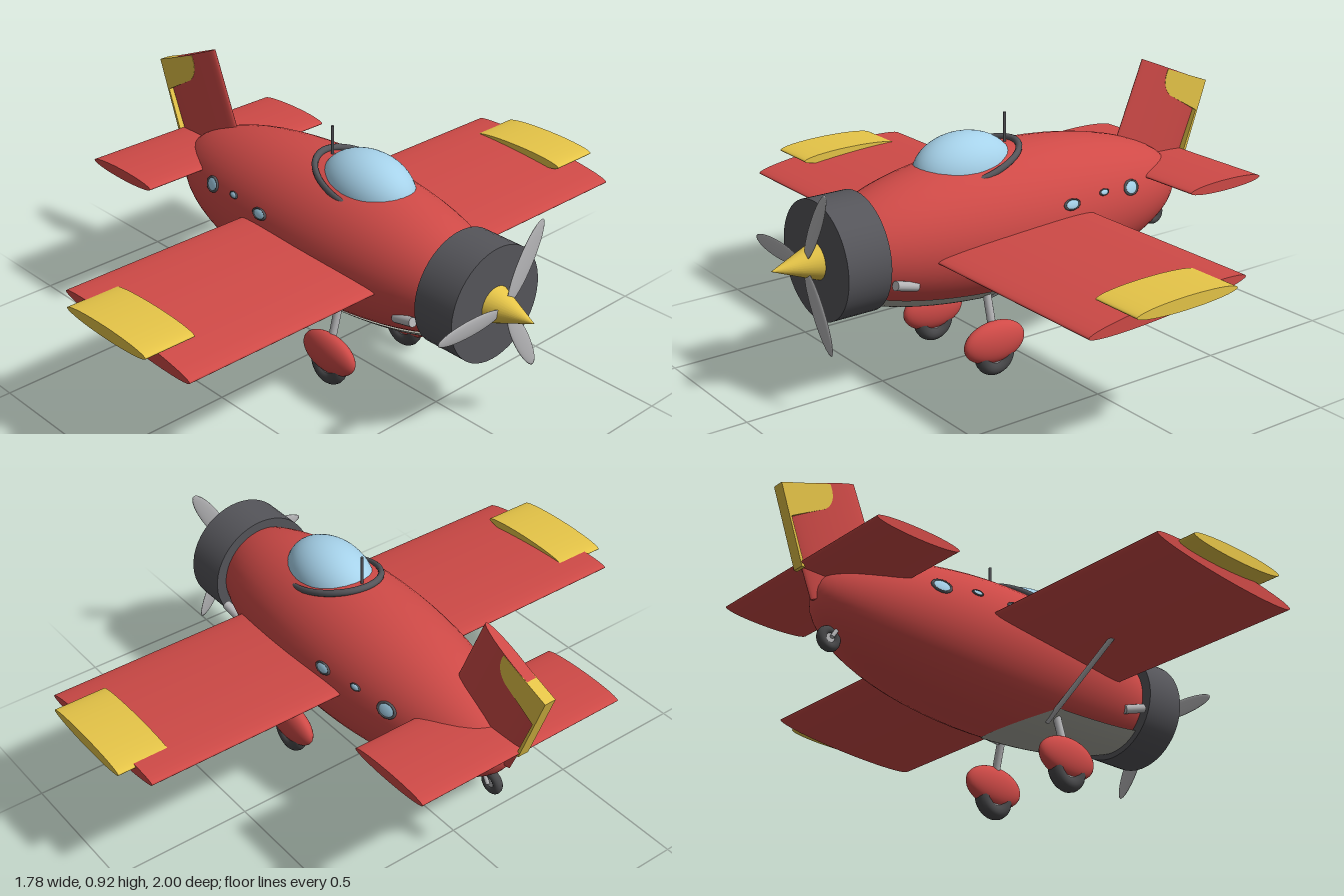
import * as THREE from 'three';
import { ParametricGeometry } from 'three/addons/geometries/ParametricGeometry.js';

const mat = (color, side = THREE.FrontSide) => new THREE.MeshStandardMaterial({ color, side });
const RED = mat(0xcf4a47), YELLOW = mat(0xe6c548), DARK = mat(0x55555a), TYRE = mat(0x48484a);
const GLASS = mat(0xa6d2ea), METAL = mat(0xb4b4b6), BELLY = mat(0xaaaaa0, THREE.DoubleSide);

// Fuselage ellipsoid: centre and radii
const C = new THREE.Vector3(0.01, 0.475, 0);
const R = new THREE.Vector3(0.74, 0.255, 0.25);

export function createModel() {
  const plane = new THREE.Group();
  plane.name = 'airplane';

  function add(name, geometry, material, x = 0, y = 0, z = 0) {
    const m = new THREE.Mesh(geometry, material);
    m.name = name;
    m.position.set(x, y, z);
    plane.add(m);
    return m;
  }
  function ellipsoid(name, material, p, r, seg = 32) {
    const g = new THREE.SphereGeometry(1, seg, Math.round(seg * 0.6)).scale(...r);
    return add(name, g, material, ...p);
  }
  function rod(name, a, b, r, material = METAL) {
    const path = new THREE.LineCurve3(new THREE.Vector3(...a), new THREE.Vector3(...b));
    const d = path.getLength();
    const m = add(name, new THREE.CylinderGeometry(r, r, d, 12), material);
    m.position.copy(path.getPoint(0.5));
    m.quaternion.setFromUnitVectors(new THREE.Vector3(0, 1, 0), path.getTangent(0));
    return m;
  }
  // Straight panel with a lens section, spanning z
  function panel(name, material, p, chord, thick, span, tilt = 0) {
    const g = new THREE.CylinderGeometry(1, 1, span, 40).rotateX(Math.PI / 2);
    g.scale(chord / 2, thick / 2, 1);
    const m = add(name, g, material, ...p);
    m.rotation.z = tilt;
    return m;
  }
  function wheel(name, p, r, tube) {
    add(name + 'Tyre', new THREE.TorusGeometry(r - tube, tube, 14, 32), TYRE, ...p);
    add(name + 'Hub', new THREE.CylinderGeometry(r - tube, r - tube, tube * 1.3, 20).rotateX(Math.PI / 2), METAL, ...p);
  }

  // Body
  const body = new THREE.SphereGeometry(1, 48, 32).rotateZ(Math.PI / 2).scale(R.x, R.y, R.z);
  add('fuselage', body, RED, C.x, C.y, C.z);

  // Belly plate that hugs the underside
  add('bellyPlate', new ParametricGeometry((u, v, out) => {
    const x = 0.005 + 0.585 * u;
    const s = Math.sqrt(1 - ((x - C.x) / R.x) ** 2) * 1.01 + 0.05 * u * u;
    const a = (v * 2 - 1) * 0.76 * Math.sqrt(Math.min(1, u / 0.25));
    out.set(x, C.y - R.y * s * Math.cos(a), R.z * s * Math.sin(a));
  }, 32, 24), BELLY);

  // Engine cowl, spinner and propeller
  add('cowl', new THREE.CylinderGeometry(0.197, 0.197, 0.155, 48).rotateZ(Math.PI / 2), DARK, 0.655, C.y, 0);
  add('spinner', new THREE.ConeGeometry(0.063, 0.16, 32).rotateZ(-Math.PI / 2), YELLOW, 0.81, C.y, 0);
  for (let i = 0; i < 3; i++) {
    const g = new THREE.SphereGeometry(1, 20, 16).scale(0.006, 0.033, 0.14);
    g.rotateZ(-0.1).translate(0, 0, 0.16).rotateX(i * Math.PI * 2 / 3);
    add('propellerBlade', g, METAL, 0.775, C.y, 0);
  }

  // Canopy with its sloping rim, and the aerial
  ellipsoid('canopy', GLASS, [0.17, 0.668, 0], [0.183, 0.124, 0.125], 40);
  const rim = new THREE.TorusGeometry(1, 0.065, 10, 64).rotateX(Math.PI / 2).scale(0.19, 0.18, 0.138);
  add('canopyRim', rim, DARK, 0.15, 0.68, 0).rotation.z = -0.29;
  rod('aerial', [0, 0.7, 0], [0, 0.83, 0], 0.005, DARK);

  // Tail fin and its rudder
  const fin = new THREE.CylinderGeometry(1, 1, 0.38, 40).scale(0.157, 1, 0.02);
  add('tailFin', fin, RED, -0.671, 0.684, 0).rotation.z = 0.39;
  const s = new THREE.Shape();
  s.moveTo(-0.89, 0.803);
  s.lineTo(-0.705, 0.871);
  s.quadraticCurveTo(-0.675, 0.81, -0.72, 0.772);
  s.lineTo(-0.845, 0.7);
  s.lineTo(-0.785, 0.54);
  s.lineTo(-0.797, 0.54);
  s.closePath();
  add('rudder', new THREE.ExtrudeGeometry(s, { depth: 0.041, bevelEnabled: false }), YELLOW, 0, 0, -0.0205);

  // Tailplane
  panel('tailplane', RED, [-0.64, 0.555, 0], 0.32, 0.038, 0.79);

  // Tail wheel
  wheel('tailWheel', [-0.67, 0.34, 0], 0.043, 0.016);
  for (const k of [-1, 1]) rod('tailWheelFork', [-0.67, 0.34, k * 0.018], [-0.62, 0.42, k * 0.018], 0.007);

  // Parts mirrored on both sides
  for (const k of [-1, 1]) {
    panel('wing', RED, [0.11, 0.479, k * 0.525], 0.61, 0.054, 0.83, -0.075);
    panel('aileron', YELLOW, [0.095, 0.507, k * 0.91], 0.39, 0.043, 0.18);
    rod('wingStrut', [0.145, 0.455, k * 0.43], [0.145, 0.255, k * 0.12], 0.009);
    rod('exhaust', [0.47, 0.38, k * 0.168], [0.555, 0.405, k * 0.178], 0.016);

    // Main wheel, spat and leg
    rod('gearLeg', [0.175, 0.3, k * 0.13], [0.175, 0.15, k * 0.17], 0.014);
    ellipsoid('wheelSpat', RED, [0.175, 0.117, k * 0.178], [0.12, 0.073, 0.04]);
    wheel('mainWheel', [0.175, 0.076, k * 0.178], 0.076, 0.027);

    // Cabin windows set on the skin
    for (const [x, y, w, h] of [[-0.385, 0.545, 0.033, 0.024], [-0.25, 0.56, 0.019, 0.01], [-0.1, 0.552, 0.03, 0.017]]) {
      const dx = (x - C.x) / R.x, dy = (y - C.y) / R.y;
      const z = k * R.z * Math.sqrt(1 - dx * dx - dy * dy);
      const n = new THREE.Vector3(dx / R.x, dy / R.y, z / R.z ** 2).normalize();
      const glass = ellipsoid('window', GLASS, [x, y, z], [w, h, 0.006], 20);
      const frame = add('windowFrame', new THREE.TorusGeometry(1, 0.16, 8, 28).scale(w, h, 0.035), DARK, x, y, z);
      for (const m of [glass, frame]) m.lookAt(m.position.clone().add(n));
    }
  }
  return plane;
}
